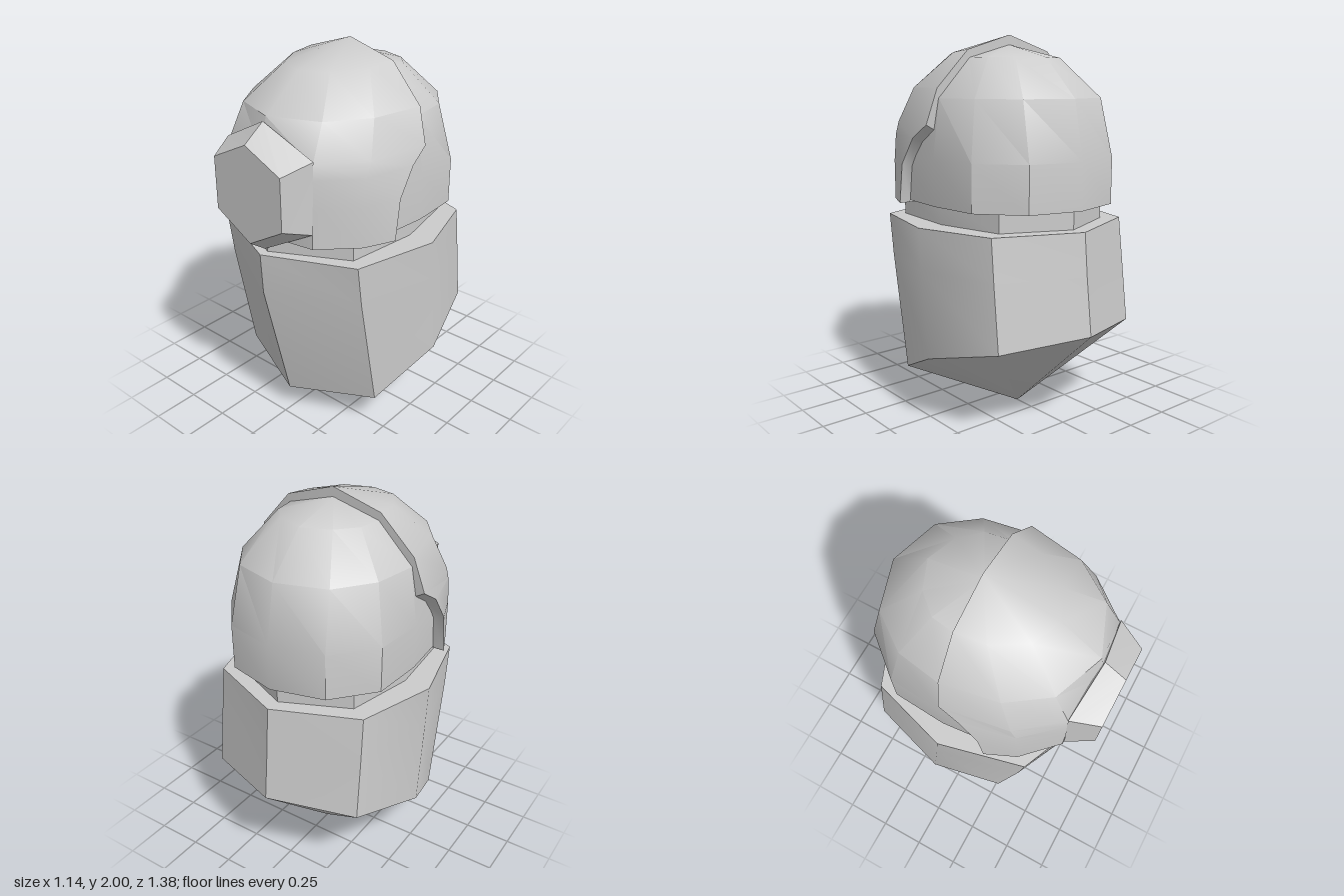
import * as THREE from 'three';
import { toCreasedNormals } from 'three/addons/utils/BufferGeometryUtils.js';

// Skin a stack of cross-sections. Each row lists [x, y, z] for one half,
// ending on the centre plane; the other half is mirrored.
function loft(name, rows, side = 1, crease = 0.6) {
  const rings = rows.map(half => {
    const a = half.map(([x, y, z]) => new THREE.Vector3(x * side, y, z));
    const b = half.slice(0, -1).reverse().map(([x, y, z]) => new THREE.Vector3(-x * side, y, z));
    return [...a, ...b];
  });
  const pos = [];
  const tri = (a, b, c) => {
    const t = new THREE.Triangle(a, b, c);
    if (t.getArea() > 1e-6) pos.push(...a.toArray(), ...b.toArray(), ...c.toArray());
  };
  for (let i = 0; i < rings.length - 1; i++) {
    for (let j = 0; j < rings[0].length - 1; j++) {
      const a = rings[i][j], b = rings[i][j + 1], c = rings[i + 1][j + 1], d = rings[i + 1][j];
      tri(a, d, c);
      tri(a, c, b);
    }
  }
  const geo = new THREE.BufferGeometry();
  geo.setAttribute('position', new THREE.Float32BufferAttribute(pos, 3));
  const mesh = new THREE.Mesh(toCreasedNormals(geo, crease),
    new THREE.MeshStandardMaterial({ color: 0xcccccc, side: THREE.DoubleSide }));
  mesh.name = name;
  return mesh;
}

const level = (y, pts) => pts.map(([x, z]) => [x, y, z]);
const point = (n, x, y, z) => Array.from({ length: n }, () => [x, y, z]);

export function createModel() {
  const group = new THREE.Group();

  // Eight-sided neck base with a slanted, pointed underside
  const collar = level(1.04, [[0, -0.635], [0.44, -0.455], [0.57, -0.03], [0.46, 0.43], [0, 0.63]]);
  const neck = [[0, -0.555], [0.35, -0.4], [0.43, -0.03], [0.39, 0.38], [0, 0.58]];
  group.add(loft('neckBase', [
    point(5, 0, 0, -0.13),
    [[0, 0.52, -0.69], [0.45, 0.48, -0.52], [0.57, 0.37, -0.1], [0.46, 0.19, 0.28], [0, 0.14, 0.46]],
    level(0.82, [[0, -0.655], [0.445, -0.48], [0.57, -0.05], [0.46, 0.4], [0, 0.62]]),
    collar,
    level(1.04, neck),
  ]));

  // Recessed ring between base and head
  group.add(loft('neckRing', [level(1.04, neck), level(1.16, neck)]));

  // Rounded back of the head
  const nape = [[0.45, 0.3], [0.48, -0.04], [0.46, -0.33], [0.28, -0.54], [0, -0.61]];
  group.add(loft('headBack', [
    point(5, 0, 1.14, 0),
    level(1.14, nape),
    level(1.38, nape),
    level(1.68, [[0.42, 0.2], [0.44, -0.04], [0.4, -0.28], [0.26, -0.47], [0, -0.55]]),
    level(1.88, [[0.25, 0.05], [0.26, -0.05], [0.24, -0.18], [0.15, -0.28], [0, -0.34]]),
    point(5, 0, 1.95, -0.05),
  ], -1));

  // Face shell, wider than the back of the head, with a stepped rear edge
  const face = [
    level(1.13, [[0.52, 0.22], [0.45, 0.38], [0.28, 0.55], [0, 0.59]]),
    level(1.34, [[0.52, 0.19], [0.45, 0.38], [0.28, 0.55], [0, 0.59]]),
    level(1.48, [[0.515, 0.09], [0.45, 0.36], [0.28, 0.55], [0, 0.59]]),
    level(1.55, [[0.505, -0.02], [0.45, 0.33], [0.28, 0.54], [0, 0.59]]),
    level(1.73, [[0.45, -0.04], [0.4, 0.25], [0.26, 0.45], [0, 0.55]]),
    [[0.27, 1.92, -0.055], [0.25, 1.91, 0.1], [0.15, 1.905, 0.27], [0, 1.9, 0.33]],
    point(4, 0, 2, -0.055),
  ];
  group.add(loft('faceShell', [point(4, 0, 1.13, 0.2), ...face]));

  // Thickness of the shell along its rear edge
  const edge = face.map(row => row[0]);
  const inner = edge.map(([x, y, z]) => [x * 0.88, y - 0.07 * (y - 1.13) / 0.87, z]);
  group.add(loft('shellRim', [inner, edge]));

  // Flared six-sided muzzle
  const tip = [[0, 1.625, 0.69], [0.22, 1.52, 0.69], [0.22, 1.25, 0.69], [0, 1.125, 0.69]];
  const muzzleHalf = [
    [[0, 1.71, 0.57], [0.285, 1.57, 0.54], [0.285, 1.21, 0.555], [0, 1.06, 0.595]],
    tip,
    point(4, 0, 1.375, 0.69),
  ];
  // Repeat the top point so the ring closes across the centre plane
  group.add(loft('muzzle', [point(4, 0, 1.35, 0.5), ...muzzleHalf]));

  return group;
}
